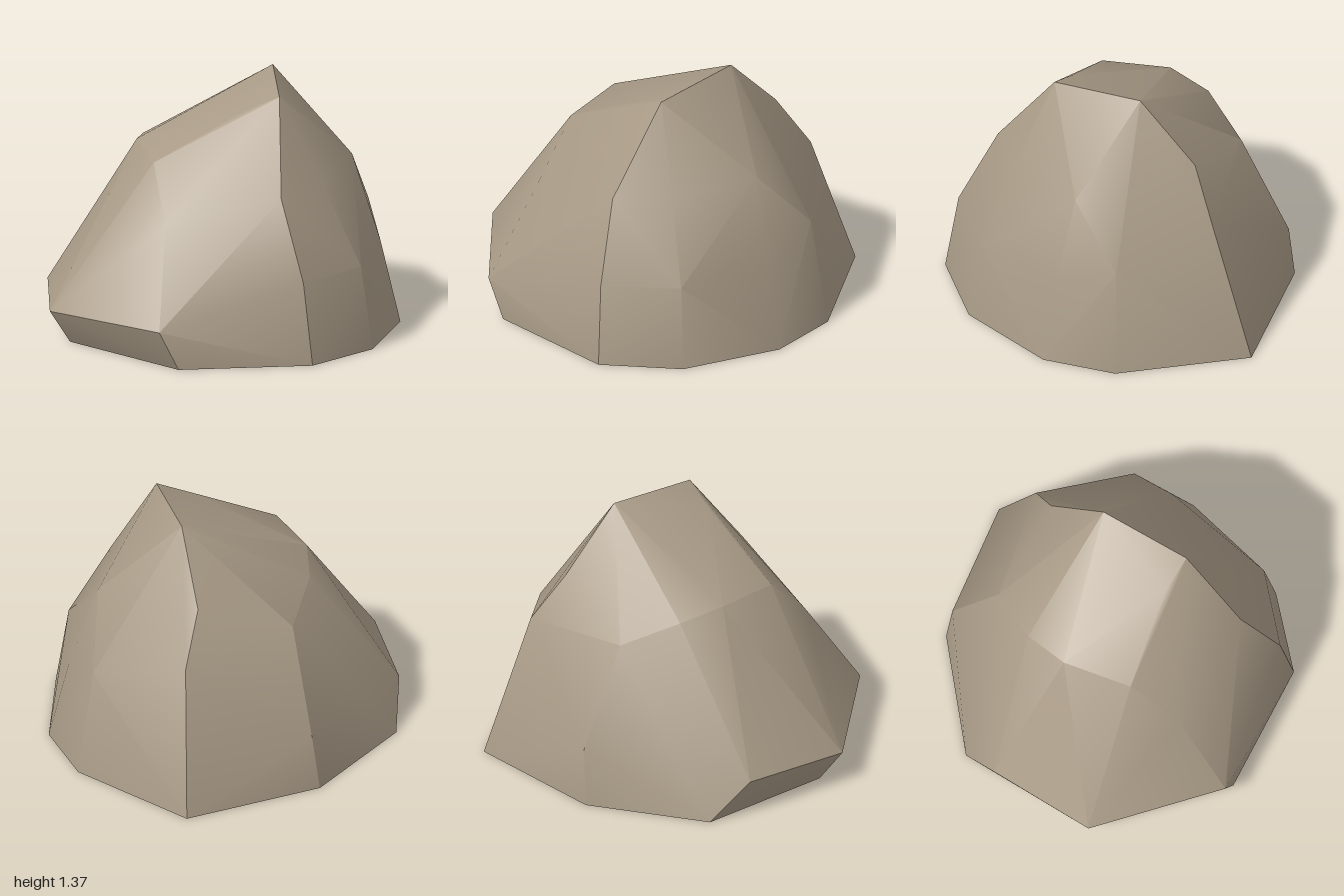
import * as THREE from 'three';
import { ConvexGeometry } from 'three/addons/geometries/ConvexGeometry.js';
import { toCreasedNormals } from 'three/addons/utils/BufferGeometryUtils.js';

// corners of the boulder, from the ground up
const ground = [
  [0.09, 0, 0.93], [0.52, 0, 0.78], [0.89, 0, 0.36], [0.99, 0, -0.03], [0.81, 0, -0.75],
  [0.06, 0, -0.94], [-0.6, 0, -0.75], [-0.87, 0, -0.06], [-0.59, 0, 0.69],
];
const flanks = [
  [-1, 0.19, -0.04], [-0.69, 0.21, 0.66], [-0.75, 0.21, -0.58], [0.09, 0.32, -0.91],
  [0.07, 0.44, 0.86], [0.48, 0.45, 0.72], [0.8, 0.45, 0.3], [0.89, 0.59, -0.03],
  [-0.52, 0.71, 0.385], [0.65, 0.77, -0.53], [0.04, 0.86, 0.65], [0.34, 0.88, 0.54],
  [0.68, 0.92, 0.2],
];
const crown = [
  [0.02, 0.86, -0.65], [-0.24, 0.98, -0.46], [-0.38, 1.02, -0.25], [-0.46, 0.99, 0.12],
  [0.01, 1.25, 0.25], [0.18, 1.33, 0.34], [0.37, 1.37, -0.13], [0.49, 1.04, -0.43],
];

// drop the triangles lying on the ground, leaving the shell open below
function openBottom(geometry) {
  const p = geometry.attributes.position.array;
  const kept = [];
  for (let i = 0; i < p.length; i += 9) {
    if (Math.max(p[i + 1], p[i + 4], p[i + 7]) > 0.01) kept.push(...p.slice(i, i + 9));
  }
  const open = new THREE.BufferGeometry();
  open.setAttribute('position', new THREE.Float32BufferAttribute(kept, 3));
  return open;
}

export function createModel() {
  const group = new THREE.Group();
  group.name = 'rock';

  const stone = new THREE.MeshStandardMaterial({ color: 0xa89a86, side: THREE.DoubleSide });
  stone.name = 'stone';

  // rounded flanks stay smooth, broken faces keep sharp edges
  const points = [...ground, ...flanks, ...crown].map((c) => new THREE.Vector3(...c));
  const shell = toCreasedNormals(openBottom(new ConvexGeometry(points)), 0.52);
  const boulder = new THREE.Mesh(shell, stone);
  boulder.name = 'boulder';
  group.add(boulder);
  return group;
}
